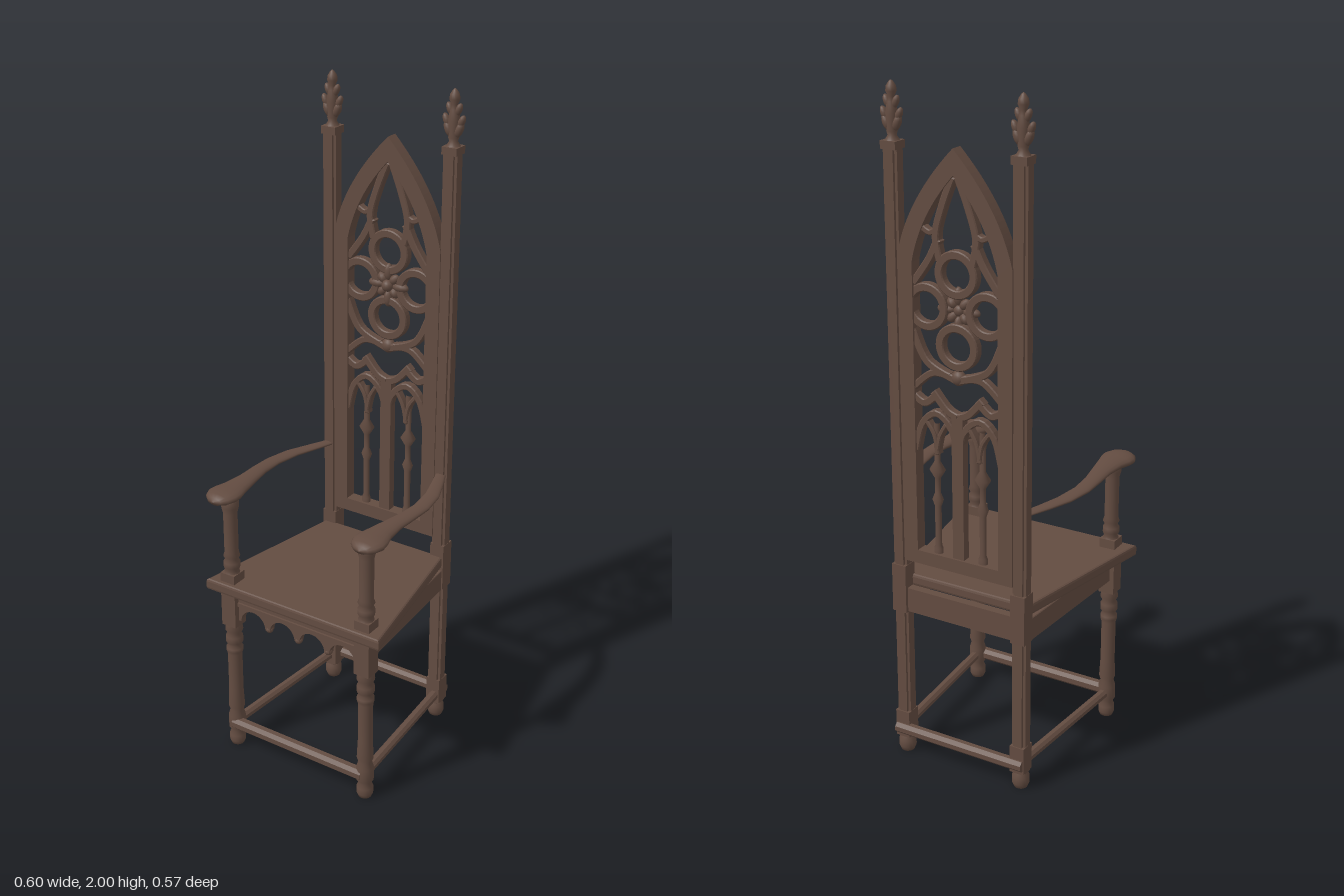
import * as THREE from 'three';

export function createModel() {
  const chair = new THREE.Group();
  chair.name = 'gothicChair';
  const wood = new THREE.MeshStandardMaterial({ color: 0x634c41 });
  wood.name = 'dark wood';

  const V2 = (x, y) => new THREE.Vector2(x, y);
  const add = (name, geo, x = 0, y = 0, z = 0) => {
    const m = new THREE.Mesh(geo, wood);
    m.name = name;
    m.position.set(x, y, z);
    chair.add(m);
    return m;
  };
  const box = (name, w, h, d, x, y, z) => add(name, new THREE.BoxGeometry(w, h, d), x, y, z);
  // Turned part from [radius, height] pairs
  const turned = (name, pts, x, z) =>
    add(name, new THREE.LatheGeometry(pts.map(p => V2(p[0], p[1])), 20), x, 0, z);
  // Chamfered bar between two points
  const beam = (name, a, b, w, h, c = 0.006) => {
    const A = new THREE.Vector3(...a), B = new THREE.Vector3(...b);
    const x = w / 2, y = h / 2;
    const s = new THREE.Shape([V2(x - c, -y), V2(x, c - y), V2(x, y - c), V2(x - c, y),
      V2(c - x, y), V2(-x, y - c), V2(-x, c - y), V2(c - x, -y)]);
    const g = new THREE.ExtrudeGeometry(s, { depth: A.distanceTo(B), bevelEnabled: false });
    const m = add(name, g, ...a);
    m.lookAt(B);
    return m;
  };
  // Flat carving centred on the plane of the back
  const BZ = -0.248;
  const carve = (name, shape, depth, bevel = 0.005) => {
    const g = new THREE.ExtrudeGeometry(shape, {
      depth: depth - 2 * bevel, bevelEnabled: bevel > 0, bevelThickness: bevel,
      bevelSize: bevel, bevelOffset: -bevel, bevelSegments: 1, curveSegments: 20,
    });
    return add(name, g, 0, 0, BZ - depth / 2 + bevel);
  };
  // Curved rib of constant width through 2D points
  const rib = (name, pts, w, depth = 0.026) => {
    const curve = new THREE.SplineCurve(pts.map(p => V2(...p)));
    const n = 16, left = [], right = [];
    for (let i = 0; i <= n; i++) {
      const p = curve.getPoint(i / n), t = curve.getTangent(i / n);
      left.push(V2(p.x - t.y * w / 2, p.y + t.x * w / 2));
      right.unshift(V2(p.x + t.y * w / 2, p.y - t.x * w / 2));
    }
    return carve(name, new THREE.Shape([...left, ...right]), depth, 0.003);
  };

  // Seat: trapezoid board with a moulded edge
  const seat = new THREE.Shape([V2(-0.295, -0.26), V2(0.295, -0.26), V2(0.207, 0.23), V2(-0.207, 0.23)]);
  add('seat', new THREE.ExtrudeGeometry(seat, {
    depth: 0.019, bevelThickness: 0.008, bevelSize: 0.006, bevelSegments: 2,
  }), 0, 0.558, 0).rotation.x = -Math.PI / 2;

  // Front apron with four scallops
  const apron = new THREE.Shape();
  apron.moveTo(-0.21, 0.552);
  apron.lineTo(-0.21, 0.455);
  for (let i = 0; i < 4; i++) {
    const cx = -0.1575 + i * 0.105;
    apron.lineTo(cx - 0.044, 0.455);
    apron.absarc(cx, 0.455, 0.044, Math.PI, 0, true);
  }
  apron.lineTo(0.21, 0.455);
  apron.lineTo(0.21, 0.552);
  add('frontApron', new THREE.ExtrudeGeometry(apron, { depth: 0.022, bevelEnabled: false, curveSegments: 10 }), 0, 0, 0.21);
  box('apronMoulding', 0.42, 0.012, 0.03, 0, 0.512, 0.223);
  for (const x of [-0.105, 0, 0.105]) {
    add('apronPendant', new THREE.SphereGeometry(0.012, 12, 8), x, 0.457, 0.222);
  }
  box('backApron', 0.36, 0.075, 0.026, 0, 0.515, -0.25);

  // Stretchers at the front and back
  beam('frontStretcher', [-0.235, 0.082, 0.237], [0.235, 0.082, 0.237], 0.036, 0.036, 0.01);
  beam('backStretcher', [-0.215, 0.082, -0.27], [0.215, 0.082, -0.27], 0.034, 0.034, 0.01);

  for (const s of [-1, 1]) {
    const fx = s * 0.235, fz = 0.225, px = s * 0.196;
    beam('sideApron', [fx, 0.512, fz], [s * 0.2, 0.505, -0.25], 0.026, 0.07, 0.002);
    beam('sideStretcher', [fx, 0.082, fz], [s * 0.2, 0.082, -0.25], 0.028, 0.028, 0.008);

    // Front leg
    box('frontLegBlock', 0.05, 0.12, 0.05, fx, 0.495, fz);
    turned('frontLeg', [[0.001, 0.002], [0.02, 0.002], [0.025, 0.015], [0.025, 0.035], [0.019, 0.05],
      [0.026, 0.062], [0.026, 0.105], [0.02, 0.125], [0.025, 0.14], [0.022, 0.2], [0.022, 0.33],
      [0.026, 0.342], [0.026, 0.352], [0.02, 0.362], [0.026, 0.372], [0.026, 0.392], [0.02, 0.402],
      [0.027, 0.415], [0.024, 0.44]], fx, fz);

    // Arm support
    box('armSupportBase', 0.05, 0.03, 0.05, fx, 0.598, fz);
    turned('armSupport', [[0.025, 0.61], [0.02, 0.62], [0.025, 0.633], [0.025, 0.648], [0.019, 0.658],
      [0.025, 0.668], [0.021, 0.68], [0.021, 0.81], [0.026, 0.83], [0.026, 0.85], [0.02, 0.86]], fx, fz);

    // Arm: rows of x, y, z, half width, half height
    const rows = [[0.195, 0.86, -0.24, 0.016, 0.006], [0.222, 0.861, -0.17, 0.02, 0.007],
      [0.247, 0.863, -0.1, 0.023, 0.008], [0.26, 0.865, -0.02, 0.024, 0.009],
      [0.258, 0.867, 0.05, 0.025, 0.011], [0.25, 0.868, 0.12, 0.03, 0.013],
      [0.247, 0.868, 0.18, 0.039, 0.016], [0.248, 0.867, 0.215, 0.049, 0.018],
      [0.249, 0.867, 0.24, 0.051, 0.019], [0.249, 0.866, 0.265, 0.041, 0.017],
      [0.249, 0.865, 0.28, 0.024, 0.012], [0.249, 0.864, 0.287, 0.001, 0.001]];
    const pos = [], idx = [], K = 16;
    rows.forEach((r, i) => {
      for (let k = 0; k < K; k++) {
        const a = k / K * Math.PI * 2;
        pos.push(s * r[0] + Math.cos(a) * r[3], r[1] + Math.sin(a) * r[4], r[2]);
        if (i) {
          const k2 = (k + 1) % K, p = (i - 1) * K, q = i * K;
          idx.push(p + k, p + k2, q + k, p + k2, q + k2, q + k);
        }
      }
    });
    const arm = new THREE.BufferGeometry();
    arm.setAttribute('position', new THREE.Float32BufferAttribute(pos, 3));
    arm.setIndex(idx);
    arm.computeVertexNormals();
    add('arm', arm);

    // Back post with notched corners, lower blocks and foot
    const a = 0.022, b = 0.014;
    const cross = new THREE.Shape([V2(b, -a), V2(b, -b), V2(a, -b), V2(a, b), V2(b, b), V2(b, a),
      V2(-b, a), V2(-b, b), V2(-a, b), V2(-a, -b), V2(-b, -b), V2(-b, -a)]);
    add('backPost', new THREE.ExtrudeGeometry(cross, { depth: 1.78, bevelEnabled: false }), px, 0.05, -0.247)
      .rotation.x = -Math.PI / 2;
    box('backPostBlock', 0.046, 0.15, 0.048, px, 0.55, -0.249);
    box('backPostFootBlock', 0.046, 0.085, 0.048, px, 0.097, -0.249);
    box('backPostCap', 0.047, 0.022, 0.047, px, 1.834, -0.248);
    turned('backFoot', [[0.001, 0], [0.02, 0], [0.026, 0.015], [0.026, 0.035], [0.018, 0.056]], px, -0.248);

    // Leafy finial
    turned('finial', [[0.02, 1.845], [0.012, 1.858], [0.015, 1.868], [0.013, 1.885], [0.017, 1.915],
      [0.012, 1.945], [0.009, 1.957], [0.015, 1.972], [0.013, 1.985], [0.006, 1.996], [0.001, 2]], px, -0.248);
    for (const t of [-1, 1]) {
      for (const [dx, y, r] of [[0.016, 1.89, 0.016], [0.023, 1.913, 0.013], [0.013, 1.944, 0.013]]) {
        const leaf = add('finialLeaf', new THREE.SphereGeometry(r, 10, 8), px + t * dx, y, -0.248);
        leaf.scale.set(0.75, 1.5, 0.8);
        leaf.rotation.z = -t * 0.4;
      }
    }
  }

  // Pointed back frame
  const arch = (P, x, bottom, spring, apex, cx, cy) => {
    P.moveTo(-x, bottom);
    P.lineTo(x, bottom);
    P.lineTo(x, spring);
    P.quadraticCurveTo(cx, cy, 0, apex);
    P.quadraticCurveTo(-cx, cy, -x, spring);
    P.lineTo(-x, bottom);
    return P;
  };
  const frame = arch(new THREE.Shape(), 0.176, 0.645, 1.55, 1.845, 0.142, 1.7);
  frame.holes.push(arch(new THREE.Path(), 0.132, 0.686, 1.53, 1.775, 0.105, 1.66));
  carve('backFrame', frame, 0.038, 0);

  // Rosette: four rings around a flower
  const RY = 1.41;
  for (const [x, y] of [[0, 0.1], [0, -0.1], [0.094, 0], [-0.094, 0]]) {
    const ring = new THREE.Shape().absarc(x, RY + y, 0.066, 0, Math.PI * 2);
    ring.holes.push(new THREE.Path().absarc(x, RY + y, 0.042, 0, Math.PI * 2));
    carve('rosetteRing', ring, 0.026, 0.003);
  }
  add('flowerCentre', new THREE.SphereGeometry(0.018, 14, 10), 0, RY, -0.238);
  for (let i = 0; i < 8; i++) {
    const t = i * Math.PI / 4, r = i % 2 ? 0.028 : 0.04;
    const petal = add('flowerPetal', new THREE.SphereGeometry(0.015, 10, 8), Math.cos(t) * r, RY + Math.sin(t) * r, -0.244);
    petal.scale.set(i % 2 ? 1.2 : 1.8, 0.9, 0.9);
    petal.rotation.z = t;
  }
  add('lowerBoss', new THREE.SphereGeometry(0.022, 14, 10), 0, 1.222, BZ).scale.z = 0.8;

  // Tracery ribs, mirrored
  for (const s of [-1, 1]) {
    const R = (name, w, ...pts) => rib(name, pts.map(p => [s * p[0], p[1]]), w);
    R('upperRib', 0.022, [0.008, 1.77], [0.04, 1.69], [0.062, 1.61], [0.05, 1.54]);
    R('shoulderRib', 0.022, [0.055, 1.6], [0.085, 1.54], [0.135, 1.47]);
    R('shoulderCusp', 0.016, [0.055, 1.63], [0.08, 1.615], [0.11, 1.63]);
    R('rosetteRib', 0.022, [0.14, 1.34], [0.095, 1.255], [0, 1.215]);
    R('spandrelRib', 0.02, [0.02, 1.225], [0.08, 1.225], [0.14, 1.175]);
    R('ogeeRib', 0.022, [0, 1.11], [0.035, 1.125], [0.078, 1.172]);
    R('ogeeRib', 0.022, [0.07, 1.16], [0.105, 1.135], [0.138, 1.15]);
    R('pairArch', 0.02, [0, 1.0], [0.022, 1.075], [0.07, 1.11], [0.115, 1.07], [0.137, 0.99]);
    for (const x of [0, 0.066]) {
      R('lancetArch', 0.013, [x, 0.99], [x + 0.01, 1.045], [x + 0.036, 1.085]);
      R('lancetArch', 0.013, [x + 0.036, 1.085], [x + 0.058, 1.045], [x + 0.07, 0.99]);
    }
    // Slender column with knop and base
    turned('sideColumn', [[0.014, 0.68], [0.014, 0.7], [0.01, 0.71], [0.01, 0.83], [0.017, 0.85],
      [0.009, 0.87], [0.009, 0.915], [0.024, 0.94], [0.009, 0.965], [0.009, 1.08]], s * 0.073, BZ).scale.z = 0.8;
  }
  box('centreMullion', 0.036, 0.43, 0.026, 0, 0.895, BZ);

  return chair;
}
